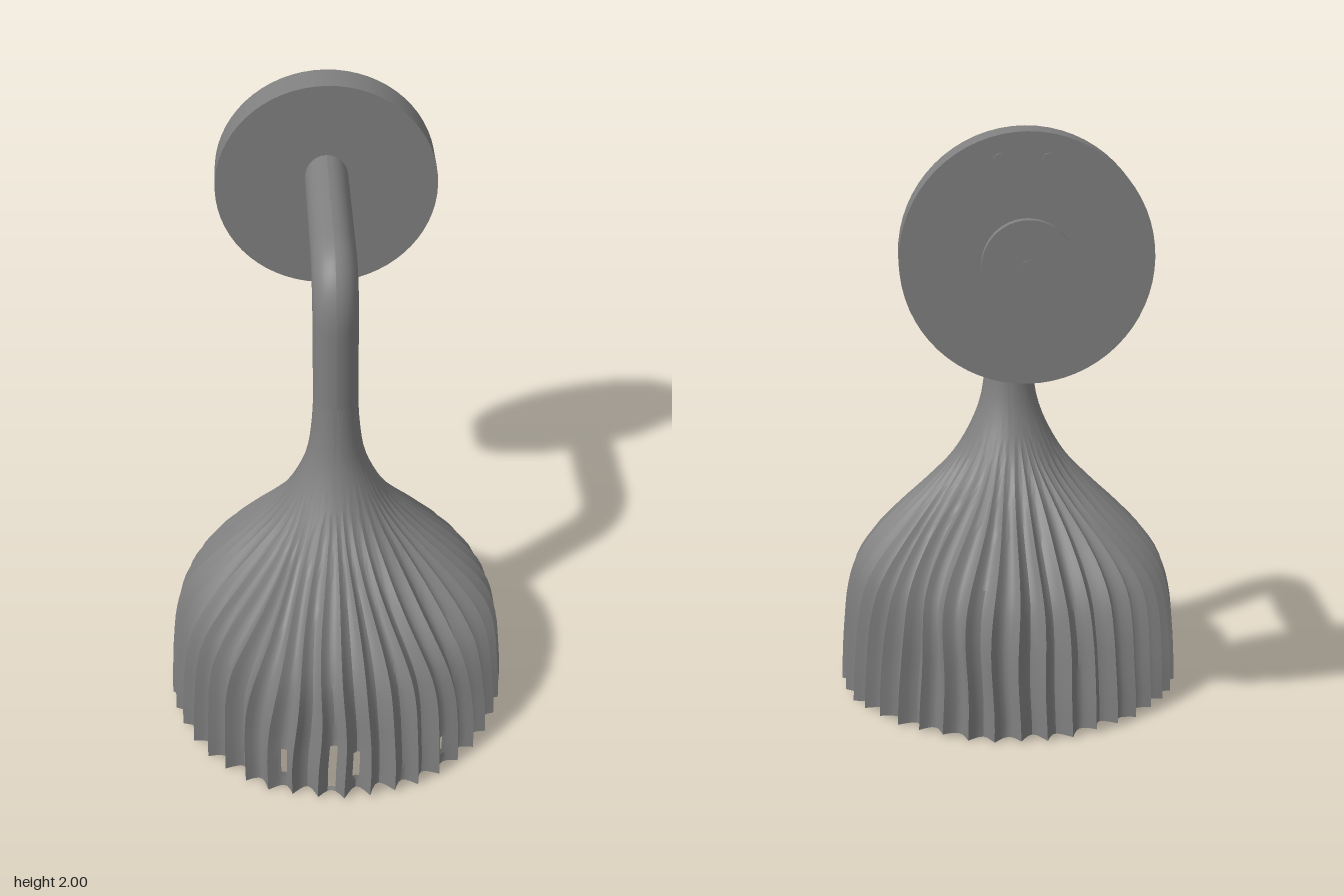
import * as THREE from 'three';
import { toCreasedNormals } from 'three/addons/utils/BufferGeometryUtils.js';

const RIBS = 42, COLS = RIBS * 6;

// Outer silhouette of the shade: [radius, height]
const PROFILE = [
  [0.07, 1.3], [0.073, 1.2], [0.08, 1.1], [0.096, 1.0], [0.135, 0.9], [0.195, 0.8], [0.285, 0.7],
  [0.385, 0.6], [0.475, 0.5], [0.525, 0.42], [0.553, 0.32], [0.567, 0.2], [0.575, 0.1], [0.578, 0.01],
];

// Shade: fluted outer wall running down to the rim, then a softer inner wall running back up
function shadeGeometry() {
  const curve = new THREE.CatmullRomCurve3(PROFILE.map(([r, y]) => new THREE.Vector3(r, y, 0)));
  const outer = curve.getSpacedPoints(36).map((p) => ({ r: p.x, y: p.y, depth: 0.042, wall: 0 }));
  const inner = outer.filter((p) => p.y < 0.82).reverse()
    .map((p) => ({ r: p.r, y: p.y, depth: 0.03, wall: 0.03 }));
  inner.push({ r: 0.0301, y: 0.86, depth: 0, wall: 0.03 });
  const rows = [...outer, ...inner];
  const pos = [], index = [];
  for (const { r, y, depth, wall } of rows) {
    const fade = THREE.MathUtils.smoothstep(r, 0.08, 0.55);
    const centreZ = THREE.MathUtils.lerp(0.083, 0.11, fade);
    for (let j = 0; j < COLS; j++) {
      const a = (j / COLS) * Math.PI * 2;
      const rib = Math.abs(Math.sin((a * RIBS) / 2));
      const uneven = 1 + 0.25 * Math.sin(a * 5 + 1) * Math.sin(a * 11);
      const radius = r - wall - depth * fade * rib * uneven;
      // ribs wander sideways as they climb
      const drift = y * (0.05 * Math.sin(a * 3 + y * 6) + 0.03 * Math.sin(a * 7 + y * 11));
      const rim = y < 0.03 ? 0.008 * Math.sin(a * 9) * Math.sin(a * 4) : 0;
      pos.push(Math.sin(a + drift) * radius, Math.max(0, y + rim - 0.002),
        centreZ + Math.cos(a + drift) * radius);
    }
  }
  // worn slits in the valleys near the front of the rim: [rib number, bottom, top]
  const slits = [[RIBS - 3, 0.05, 0.17], [RIBS - 1, 0.03, 0.2], [0, 0.06, 0.16], [4, 0.04, 0.14]];
  const open = (j, y) => slits.some(([n, lo, hi]) =>
    Math.floor(j / 6) === n && j % 6 > 1 && j % 6 < 4 && y > lo && y < hi);
  for (let i = 0; i < rows.length - 1; i++) {
    const y = (rows[i].y + rows[i + 1].y) / 2;
    for (let j = 0; j < COLS; j++) {
      if (open(j, y)) continue;
      const k = (j + 1) % COLS;
      const a = i * COLS + j, b = i * COLS + k, c = a + COLS, d = b + COLS;
      index.push(a, c, b, b, c, d);
    }
  }
  const g = new THREE.BufferGeometry();
  g.setAttribute('position', new THREE.Float32BufferAttribute(pos, 3));
  g.setIndex(index);
  return toCreasedNormals(g, 0.7);
}

// Bent pipe, slightly taller than wide along its horizontal run
function armGeometry() {
  const k = 1.16;
  const v = (y, z) => new THREE.Vector3(0, y / k, z);
  const path = new THREE.CurvePath();
  path.add(new THREE.LineCurve3(v(1.2, 0.083), v(1.5, 0.083)));
  path.add(new THREE.CubicBezierCurve3(v(1.5, 0.083), v(1.6, 0.083), v(1.665, 0.04), v(1.665, -0.07)));
  path.add(new THREE.LineCurve3(v(1.665, -0.07), v(1.665, -0.56)));
  const g = new THREE.TubeGeometry(path, 80, 0.0725, 28, false);
  g.scale(1, k, 1);
  g.computeVertexNormals();
  return g;
}

export function createModel() {
  const grey = new THREE.MeshStandardMaterial({ color: 0x808080, side: THREE.DoubleSide });
  grey.name = 'grey metal';
  const model = new THREE.Group();
  model.name = 'wallLamp';

  const add = (name, geometry, x = 0, y = 0, z = 0) => {
    const mesh = new THREE.Mesh(geometry, grey);
    mesh.name = name;
    mesh.position.set(x, y, z);
    model.add(mesh);
    return mesh;
  };
  const disc = (name, r, z0, z1, x, y) => add(name,
    new THREE.CylinderGeometry(r, r, z0 - z1, 64).rotateX(Math.PI / 2), x, y, (z0 + z1) / 2);

  add('shade', shadeGeometry());
  add('arm', armGeometry());

  // Wall mount
  disc('wallPlate', 0.372, -0.54, -0.657, 0, 1.628);
  disc('rearBoss', 0.135, -0.65, -0.688, 0, 1.615);
  disc('bossScrew', 0.018, -0.685, -0.692, 0, 1.615);
  for (const x of [-0.06, 0.08]) disc('plateScrew', 0.018, -0.65, -0.666, x, 1.92);

  // Light fittings inside the shade
  const lampA = add('innerLamp', new THREE.SphereGeometry(0.11, 20, 12), 0.04, 0.08, 0.07);
  lampA.scale.y = 0.4;
  const lampB = add('innerLamp', new THREE.SphereGeometry(0.11, 20, 12), -0.08, 0.15, 0.18);
  lampB.scale.y = 0.6;
  lampB.rotation.z = -0.5;
  return model;
}
